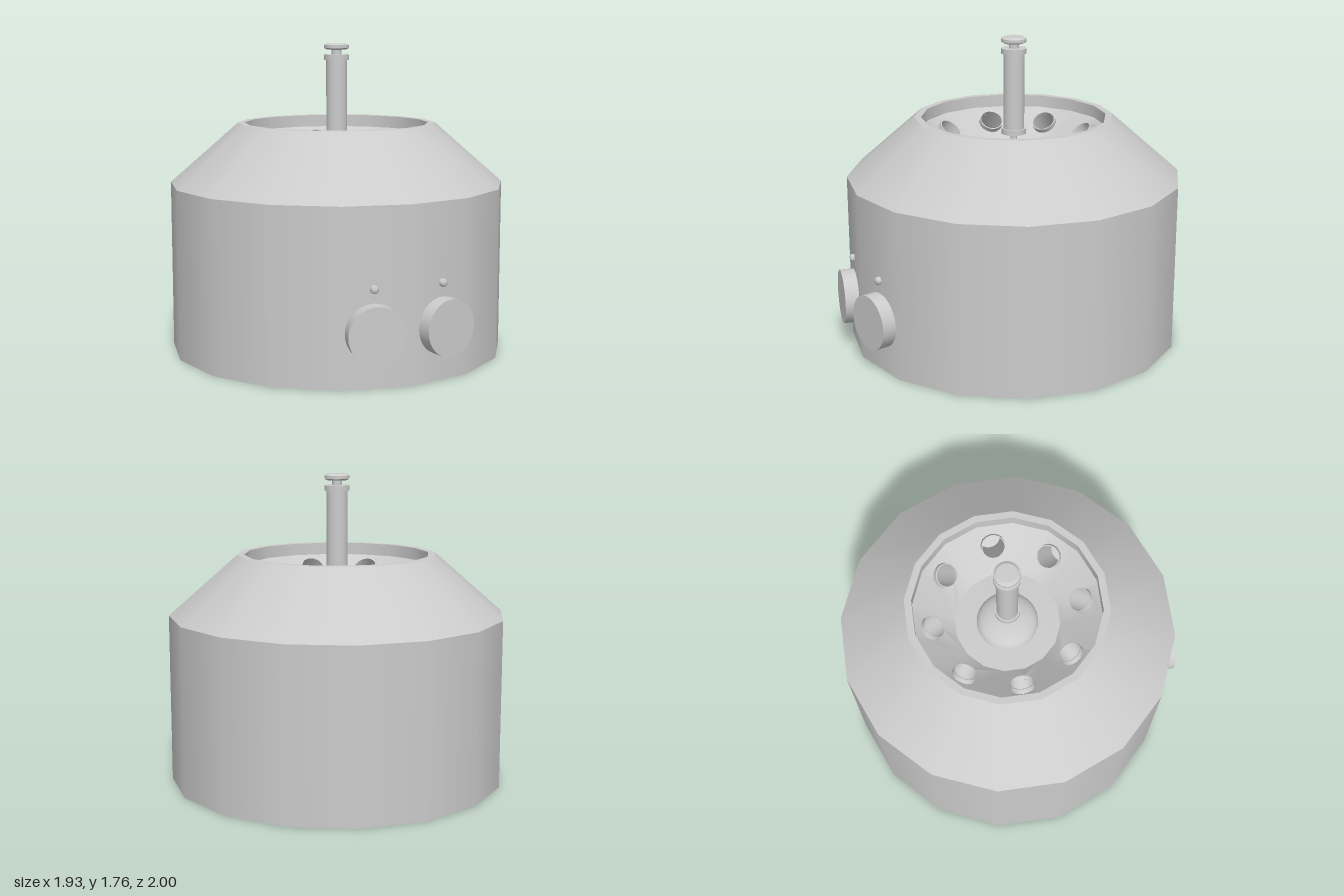
import * as THREE from 'three';
import { mergeGeometries, mergeVertices } from 'three/addons/utils/BufferGeometryUtils.js';

const AXIS_Z = -0.035;
const SIDES = 16;
const grey = new THREE.MeshStandardMaterial({ color: 0xcccccc });
const greyThin = new THREE.MeshStandardMaterial({ color: 0xcccccc, side: THREE.DoubleSide });

function add(parent, name, geometry, material = grey) {
  const mesh = new THREE.Mesh(geometry, material);
  mesh.name = name;
  parent.add(mesh);
  return mesh;
}

// Lathe that is smooth around the axis and sharp between profile segments
function turned(profile, sides) {
  const bands = [];
  for (let i = 0; i + 1 < profile.length; i++) {
    const pair = [profile[i], profile[i + 1]].map(([r, y]) => new THREE.Vector2(r, y));
    bands.push(new THREE.LatheGeometry(pair, sides));
  }
  return mergeGeometries(bands);
}

// Conical rotor face: flat sectors with one round hole each, rolled into a cone
const INNER = { r: 0.30, y: 1.06 }, OUTER = { r: 0.53, y: 1.24 };
const SLANT = Math.hypot(OUTER.r - INNER.r, OUTER.y - INNER.y);
const HOLES = 8, HOLE_R = 0.07, CUP_RADIUS = 0.43;
const HOLE_V = SLANT * (CUP_RADIUS - INNER.r) / (OUTER.r - INNER.r);
const HOLE_SHIFT = 8 * Math.PI / 180;

function rotorFace() {
  const half = Math.PI / HOLES;
  const shape = new THREE.Shape();
  shape.moveTo(-half, 0);
  [[0, 0], [half, 0], [half, SLANT], [0, SLANT], [-half, SLANT]].forEach(([u, v]) => shape.lineTo(u, v));
  const hole = new THREE.Path();
  hole.absellipse(HOLE_SHIFT, HOLE_V, HOLE_R / CUP_RADIUS, HOLE_R, 0, Math.PI * 2, true);
  shape.holes.push(hole);
  const sectors = [];
  for (let i = 0; i < HOLES; i++) {
    const sector = new THREE.ShapeGeometry(shape, 12);
    const p = sector.attributes.position;
    for (let k = 0; k < p.count; k++) {
      const a = -p.getX(k) + i * 2 * half;
      const t = p.getY(k) / SLANT;
      const r = THREE.MathUtils.lerp(INNER.r, OUTER.r, t);
      p.setXYZ(k, r * Math.sin(a), THREE.MathUtils.lerp(INNER.y, OUTER.y, t), r * Math.cos(a));
    }
    sector.deleteAttribute('uv');
    sector.deleteAttribute('normal');
    sectors.push(sector);
  }
  const face = mergeVertices(mergeGeometries(sectors), 1e-4);
  face.computeVertexNormals();
  return face;
}

export function createModel() {
  const model = new THREE.Group();
  model.name = 'benchCentrifuge';
  const machine = new THREE.Group();
  machine.name = 'machine';
  machine.position.z = AXIS_Z;
  model.add(machine);

  // Housing with sloped cover and an inner lip
  add(machine, 'housing', turned([
    [0, 0], [0.964, 0], [0.964, 0.965], [0.57, 1.31], [0.53, 1.31], [0.53, 1.24],
  ], SIDES));

  // Rotor: pierced cone, flat floor and central dome
  const rotor = new THREE.Group();
  rotor.name = 'rotor';
  machine.add(rotor);
  add(rotor, 'rotorFace', rotorFace(), greyThin);
  add(rotor, 'rotorFloor', turned([[0.30, 1.06], [0.175, 1.065]], SIDES));
  const dome = [];
  for (let i = 0; i <= 6; i++) {
    const a = i / 6 * Math.PI / 2;
    dome.push(new THREE.Vector2(0.175 * Math.cos(a), 1.065 + 0.075 * Math.sin(a)));
  }
  add(rotor, 'rotorDome', new THREE.LatheGeometry(dome, 24));

  // Tube cups leaning in towards the axis
  const tilt = Math.atan2(OUTER.y - INNER.y, OUTER.r - INNER.r);
  const cupGeometry = turned([[0, -0.25], [HOLE_R, -0.25], [HOLE_R, 0.03], [HOLE_R - 0.006, 0.03]], 20);
  for (let i = 0; i < HOLES; i++) {
    const arm = new THREE.Group();
    arm.name = 'cupArm';
    arm.rotation.y = i * 2 * Math.PI / HOLES - HOLE_SHIFT;
    rotor.add(arm);
    const cup = add(arm, 'tubeCup', cupGeometry, greyThin);
    cup.position.set(0, INNER.y + HOLE_V * Math.sin(tilt), CUP_RADIUS);
    cup.rotation.x = -tilt;
  }

  // Spindle: pin, collars, shaft, neck and cap
  add(machine, 'spindle', turned([
    [0.018, 1.12], [0.018, 1.205], [0.07, 1.205], [0.07, 1.235], [0.06, 1.235],
    [0.06, 1.67], [0.072, 1.67], [0.072, 1.70], [0.028, 1.70], [0.028, 1.728],
    [0.055, 1.728], [0.072, 1.737], [0.072, 1.755], [0.055, 1.765], [0, 1.765],
  ], 24));

  // Knob and indicator light on each of the two front facets
  for (const side of [1, -1]) {
    const panel = new THREE.Group();
    panel.name = side > 0 ? 'leftControl' : 'rightControl';
    panel.rotation.y = side * Math.PI / SIDES;
    panel.position.set(side * 0.2, 0, 0.893);
    model.add(panel);
    const knob = add(panel, 'knob', new THREE.CylinderGeometry(0.155, 0.155, 0.08, 32));
    knob.rotation.x = Math.PI / 2;
    knob.position.set(0, 0.30, 0.037);
    const light = add(panel, 'indicatorLight', new THREE.LatheGeometry(
      [[0.022, -0.01], [0.022, 0.013], [0.014, 0.02], [0, 0.022]].map(([r, y]) => new THREE.Vector2(r, y)), 16));
    light.rotation.x = Math.PI / 2;
    light.position.y = 0.53;
  }
  return model;
}
